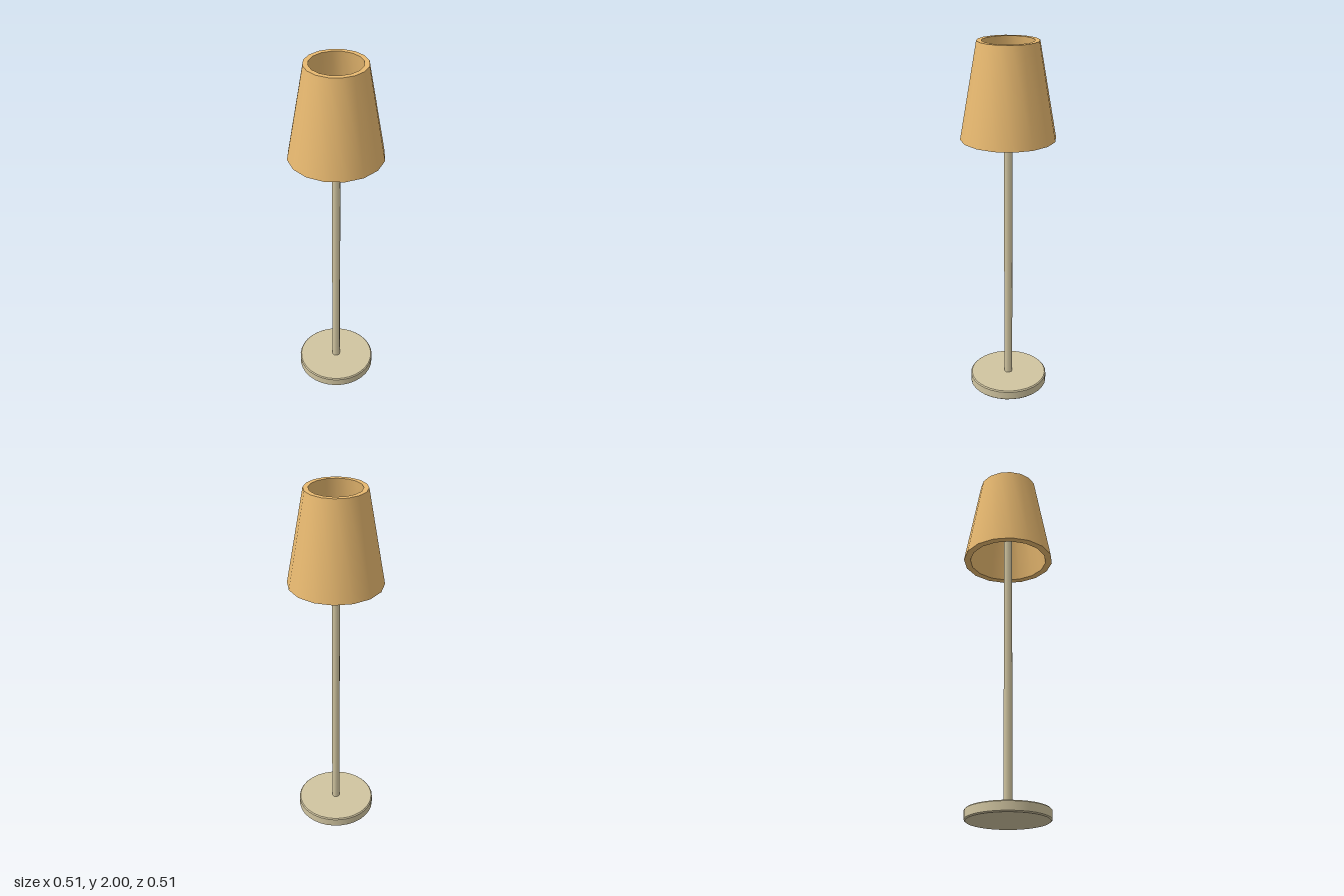
import * as THREE from 'three';
import { mergeGeometries } from 'three/addons/utils/BufferGeometryUtils.js';

const shadeMaterial = new THREE.MeshStandardMaterial({ color: 0xe8b970 });
const standMaterial = new THREE.MeshStandardMaterial({ color: 0xd0c4a0 });

// Revolve each profile segment on its own: smooth around, sharp between segments
function turned(profile, sides) {
  const points = profile.map(([r, y]) => new THREE.Vector2(r, y));
  const bands = [];
  for (let i = 0; i < points.length - 1; i++) {
    bands.push(new THREE.LatheGeometry([points[i], points[i + 1]], sides));
  }
  return mergeGeometries(bands);
}

function addPart(group, name, geometry, material) {
  const mesh = new THREE.Mesh(geometry, material);
  mesh.name = name;
  group.add(mesh);
}

export function createModel() {
  const lamp = new THREE.Group();
  lamp.name = 'floorLamp';

  // Round foot with a slightly bevelled rim
  addPart(lamp, 'base', turned([
    [0, 0], [0.215, 0], [0.221, 0.006], [0.221, 0.051], [0.215, 0.057], [0, 0.057],
  ], 32), standMaterial);

  // Slim pole ending inside the shade
  const poleBottom = 0.05, poleTop = 1.75;
  const pole = new THREE.CylinderGeometry(0.023, 0.023, poleTop - poleBottom, 8);
  pole.translate(0, (poleTop + poleBottom) / 2, 0);
  addPart(lamp, 'pole', pole, standMaterial);

  // Thick tapered shade, open at both ends
  addPart(lamp, 'shade', turned([
    [0.254, 1.49], [0.162, 2], [0.136, 2], [0.217, 1.49], [0.254, 1.49],
  ], 16), shadeMaterial);

  return lamp;
}
